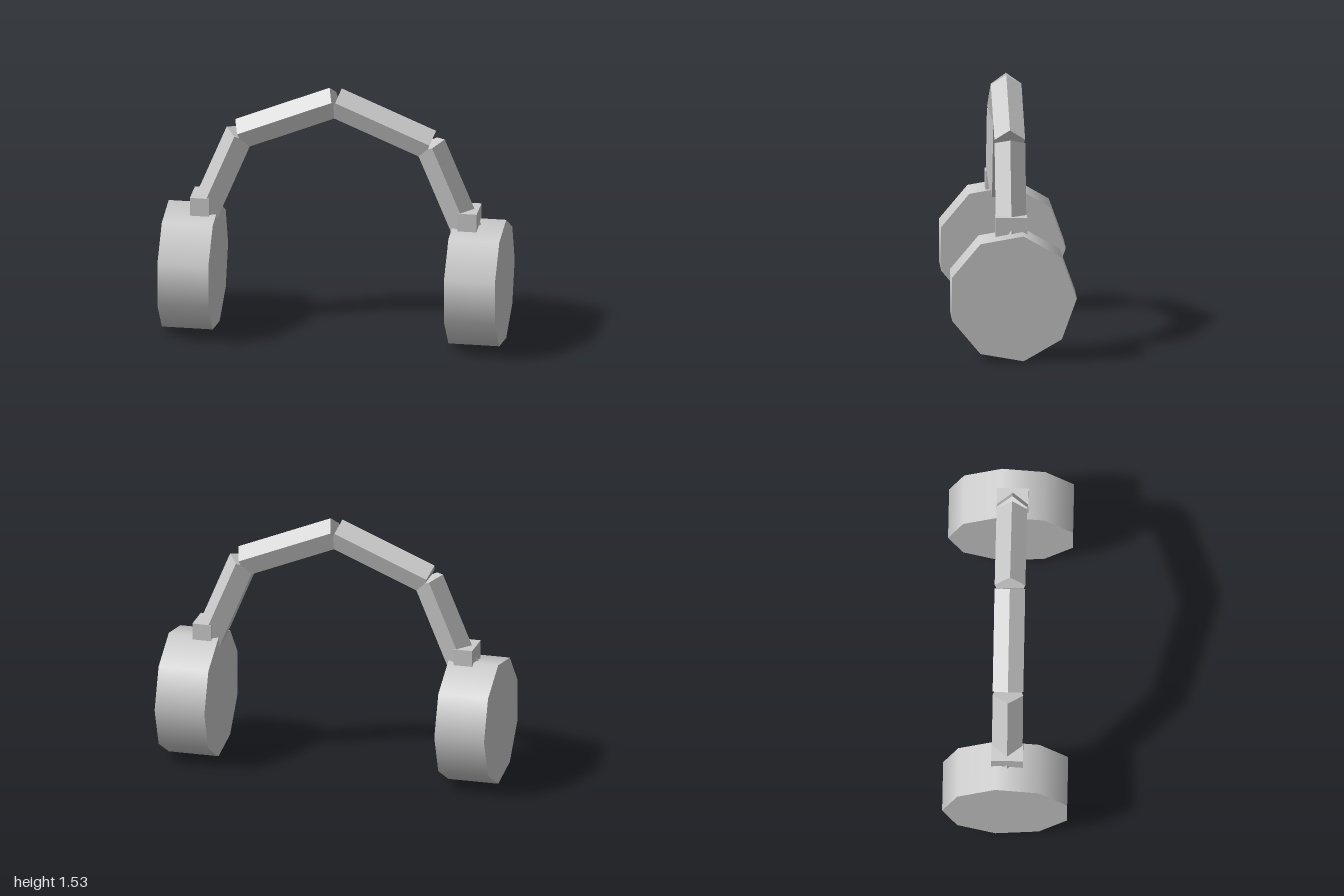
import * as THREE from 'three';

const MID_Z = 0.011;      // the band plane sits slightly forward of centre
const SEG_LENGTH = 0.605; // length of each headband piece
const SEG_RADIUS = 0.0945;

export function createModel() {
  const group = new THREE.Group();
  group.name = 'headphones';

  const grey = new THREE.MeshStandardMaterial({ color: 0xcccccc });
  grey.name = 'light grey';

  const add = (name, geometry, x, y) => {
    const mesh = new THREE.Mesh(geometry, grey);
    mesh.name = name;
    mesh.position.set(x, y, MID_Z);
    group.add(mesh);
    return mesh;
  };

  // Five-sided bar with its ridge towards local +x, faceted
  const bar = new THREE.CylinderGeometry(SEG_RADIUS, SEG_RADIUS, SEG_LENGTH, 5, 1, false, Math.PI / 2).toNonIndexed();
  bar.computeVertexNormals();

  // Nine-sided cup with smooth sides, lying along x
  const cup = new THREE.CylinderGeometry(0.3764, 0.3764, 0.302, 9, 1, false, Math.PI);
  cup.rotateZ(Math.PI / 2);

  const block = new THREE.BoxGeometry(0.113, 0.168, 0.186);

  for (const [side, s] of [['left', 1], ['right', -1]]) {
    // Headband: two straight pieces stepping down from the crown
    let x = 0, y = 1.448;
    for (const [part, degrees] of [['UpperBand', 67.5], ['LowerBand', 22.5]]) {
      const a = THREE.MathUtils.degToRad(degrees); // outward direction of the ridge
      const dx = Math.sin(a) * SEG_LENGTH, dy = -Math.cos(a) * SEG_LENGTH;
      const mesh = add(side + part, bar, s * (x + dx / 2), y + dy / 2);
      mesh.rotation.z = s > 0 ? a : Math.PI - a;
      x += dx;
      y += dy;
    }

    // Hinge block and ear cup
    add(side + 'HingeBlock', block, s * 0.793, 0.744);
    add(side + 'EarCup', cup, s * 0.849, 0.374);
  }
  return group;
}
